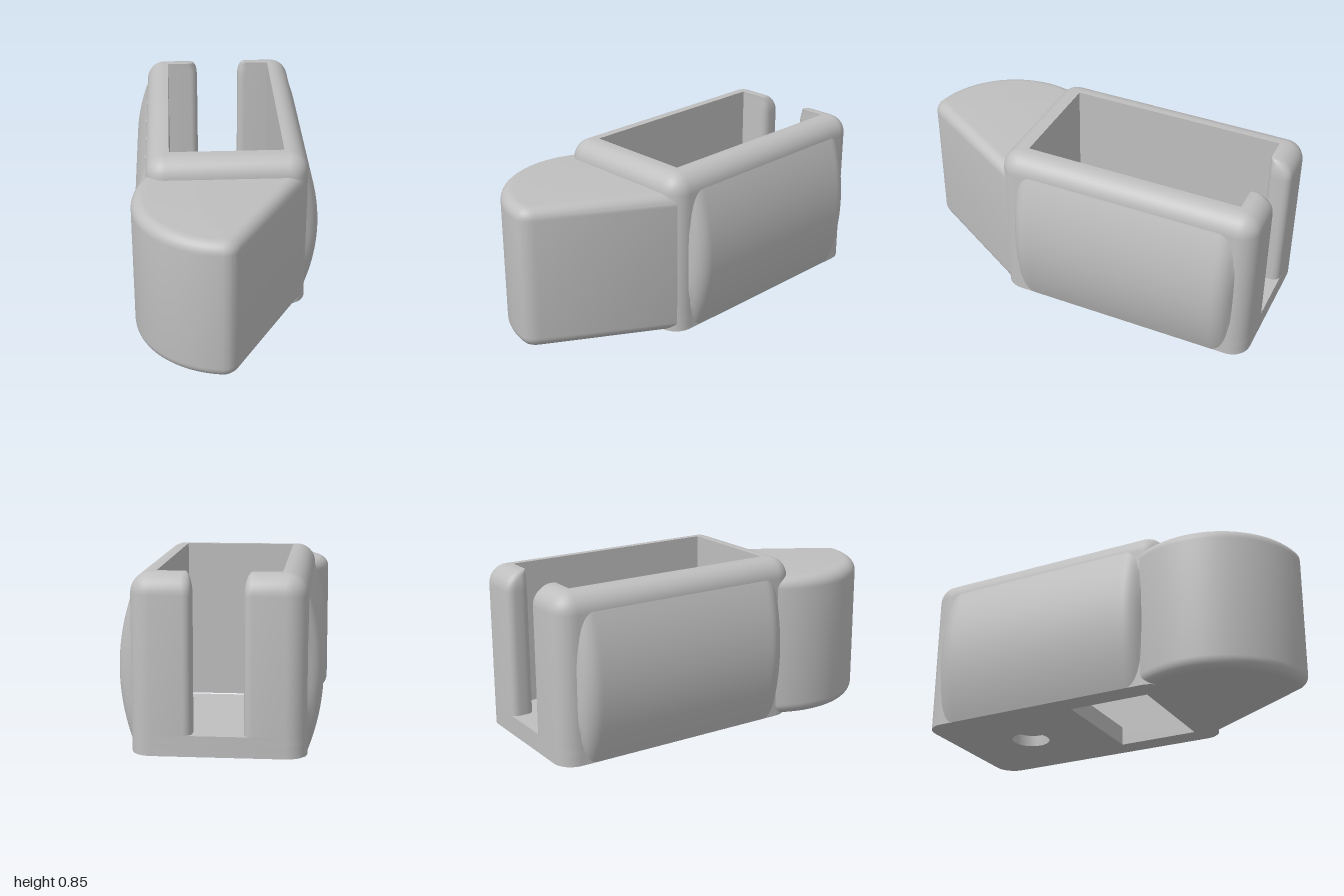
import * as THREE from 'three';
import { toCreasedNormals } from 'three/addons/utils/BufferGeometryUtils.js';

const CREASE = 0.55;
const BACK = -1, FRONT = 0.375, HALF = 0.41, RADIUS = 0.1; // outer body
const IN_X = 0.29, IN_BACK = -0.88, IN_FRONT = 0.25; // cavity
const FLOOR = 0.1, SHOULDER = 0.75, WINDOW_BACK = -0.18;

// Points along an arc in plan (x, z)
function arc(cx, cz, r, from, to, steps = 8) {
  return Array.from({ length: steps + 1 }, (_, i) => {
    const a = from + ((to - from) * i) / steps;
    return new THREE.Vector2(cx + r * Math.cos(a), cz + r * Math.sin(a));
  });
}

// C-shaped wall outline, its outer face inset by d
function wallOutline(d) {
  const q = Math.PI / 2;
  const end = 0.12 + d * 0.35; // free end of the post beside the slot
  const r = Math.min(0.04, (0.12 - d) * 0.45);
  const R = RADIUS - d;
  const half = [
    new THREE.Vector2(IN_X, IN_FRONT),
    new THREE.Vector2(IN_X, IN_BACK),
    ...arc(end + r, IN_BACK - r, r, q, 2 * q, 5),
    ...arc(end + r, BACK + d + r, r, 2 * q, 3 * q, 5),
    ...arc(HALF - RADIUS, BACK + RADIUS, R, -q, 0),
    ...arc(HALF - RADIUS, FRONT - RADIUS, R, 0, q),
  ];
  const mirrored = half.map((p) => new THREE.Vector2(-p.x, p.y)).reverse();
  return { half, mirrored, all: [...half, ...mirrored] };
}

// Walls: stacked outlines, rounded over at the top
function wallGeometry() {
  const rings = [{ y: FLOOR, pts: wallOutline(0).all }];
  const steps = 8;
  for (let i = 0; i <= steps; i++) {
    const a = (i / steps) * (Math.PI / 2);
    const d = 0.098 * (1 - Math.cos(a));
    rings.push({ y: SHOULDER + 0.1 * Math.sin(a), pts: wallOutline(d).all });
  }
  const pos = [];
  const put = (ring, i) => pos.push(ring.pts[i].x, ring.y, ring.pts[i].y);
  const n = rings[0].pts.length;
  const seam = n / 2;
  for (let k = 0; k < rings.length - 1; k++) {
    const lo = rings[k], hi = rings[k + 1];
    for (let i = 0; i < n; i++) {
      const j = (i + 1) % n;
      put(lo, i); put(hi, i); put(lo, j);
      put(lo, j); put(hi, i); put(hi, j);
    }
  }
  // Rim: right half, left half and the front strip between them
  const top = rings[rings.length - 1];
  for (const [a, b, c] of THREE.ShapeUtils.triangulateShape(top.pts, [])) {
    const [A, B, C] = [a, b, c].map((i) => top.pts[i]);
    const turn = (B.x - A.x) * (C.y - A.y) - (B.y - A.y) * (C.x - A.x);
    for (const i of turn > 0 ? [a, c, b] : [a, b, c]) put(top, i);
  }
  const g = new THREE.BufferGeometry();
  g.setAttribute('position', new THREE.Float32BufferAttribute(pos, 3));
  return toCreasedNormals(g, CREASE);
}

// Floor layer with the window, and optionally the round socket
function floorGeometry(y0, y1, withSocket) {
  const q = Math.PI / 2, x = HALF - RADIUS, b = BACK + RADIUS, f = FRONT - RADIUS;
  const shape = new THREE.Shape([
    ...arc(x, b, RADIUS, -q, 0),
    ...arc(x, f, RADIUS, 0, q),
    ...arc(-x, f, RADIUS, q, 2 * q),
    ...arc(-x, b, RADIUS, 2 * q, 3 * q),
  ]);
  shape.holes.push(new THREE.Path([
    new THREE.Vector2(-IN_X, WINDOW_BACK),
    new THREE.Vector2(-IN_X, IN_FRONT),
    new THREE.Vector2(IN_X, IN_FRONT),
    new THREE.Vector2(IN_X, WINDOW_BACK),
  ]));
  if (withSocket) shape.holes.push(new THREE.Path(arc(0, -0.59, 0.1, 0, -Math.PI * 2, 32).slice(0, -1)));
  const g = new THREE.ExtrudeGeometry(shape, { depth: y1 - y0, bevelEnabled: false });
  g.rotateX(Math.PI / 2).translate(0, y1, 0);
  return toCreasedNormals(g, CREASE);
}

// Side bulge: shallow arc in height with rounded ends
function bulgeGeometry() {
  const length = 1.21, height = 0.755, r = 0.1;
  const g = new THREE.PlaneGeometry(length, height, 100, 28);
  const p = g.attributes.position;
  for (let i = 0; i < p.count; i++) {
    const v = p.getY(i) / (height / 2);
    const d = Math.min(r, Math.max(0, Math.abs(p.getX(i)) - (length / 2 - r)));
    const drop = r - Math.sqrt(r * r - d * d);
    p.setZ(i, Math.max(-0.01, 0.07 * (1 - v * v) - drop));
  }
  g.rotateY(Math.PI / 2);
  g.computeVertexNormals();
  return g;
}

// Front nose: round on the right, straight slanted face on the left
function noseGeometry() {
  const round = 0.06, height = 0.755;
  const shape = new THREE.Shape();
  shape.absarc(0, 0.52, 0.48, Math.PI + 0.578, Math.PI / 2 + 0.125, true);
  shape.quadraticCurveTo(0, 1.004, 0.035, 0.94);
  shape.lineTo(0.385, 0.345);
  shape.lineTo(0.385, 0.258);
  shape.closePath();
  const g = new THREE.ExtrudeGeometry(shape, {
    depth: height - 2 * round, curveSegments: 28,
    bevelThickness: round, bevelSize: round, bevelOffset: -round, bevelSegments: 7,
  });
  g.rotateX(Math.PI / 2).translate(0, height - round, 0);
  return toCreasedNormals(g, CREASE);
}

export function createModel() {
  const model = new THREE.Group();
  model.name = 'holder';
  const grey = new THREE.MeshStandardMaterial({ color: 0xbfbfbf });
  grey.name = 'grey';
  const add = (name, geometry) => {
    const mesh = new THREE.Mesh(geometry, grey);
    mesh.name = name;
    model.add(mesh);
    return mesh;
  };

  add('walls', wallGeometry());
  add('lowerFloor', floorGeometry(0, 0.06, true));
  add('upperFloor', floorGeometry(0.06, FLOOR, false));
  add('nose', noseGeometry());

  const bulge = bulgeGeometry();
  for (const side of [1, -1]) {
    const mesh = add(side > 0 ? 'leftBulge' : 'rightBulge', bulge);
    mesh.position.set(side * HALF, 0.3775, -0.315);
    if (side < 0) mesh.rotation.y = Math.PI;
  }
  return model;
}
